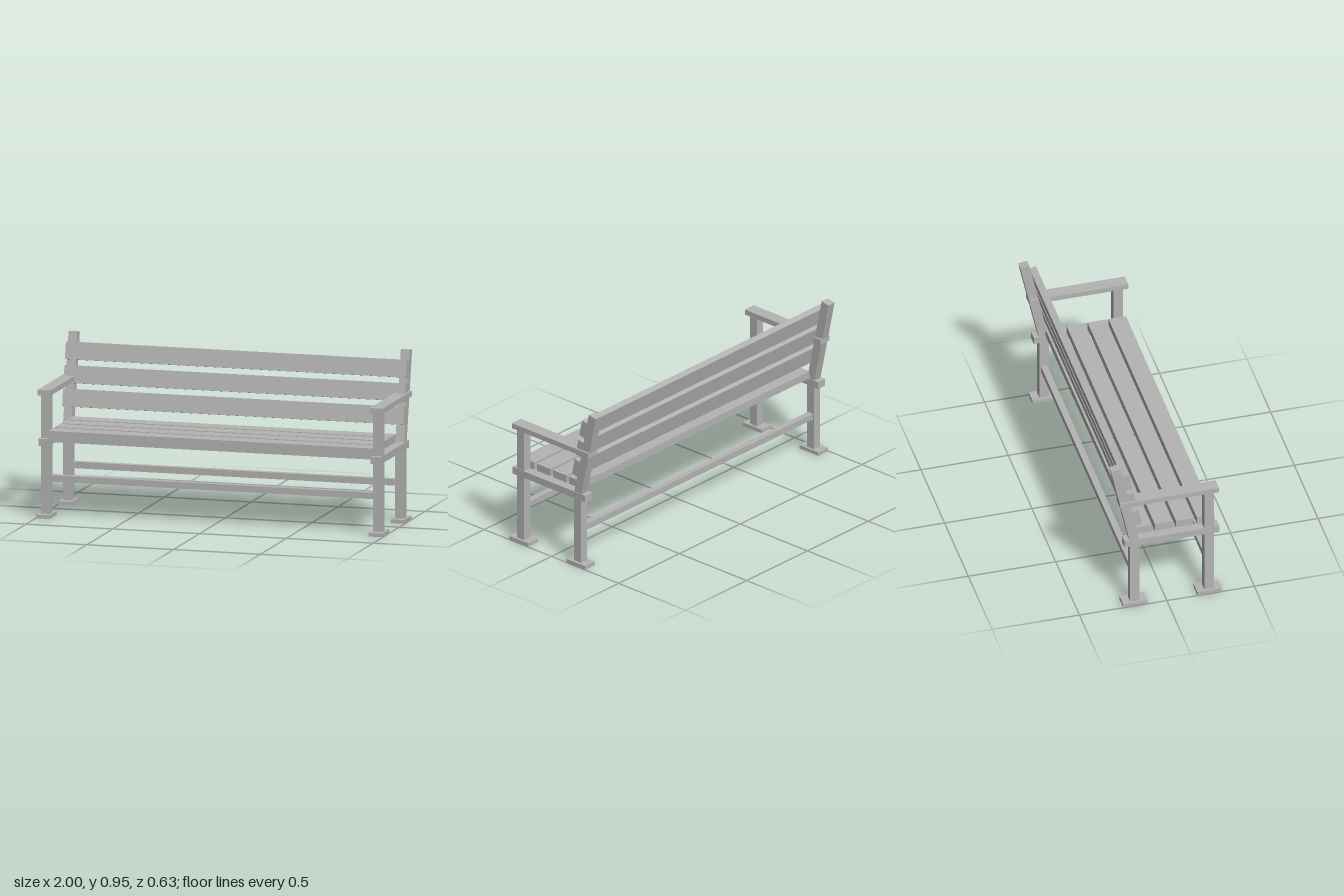
import * as THREE from 'three';

export function createModel() {
  const bench = new THREE.Group();
  bench.name = 'bench';
  const grey = new THREE.MeshStandardMaterial({ color: 0xb4b4b4 });
  grey.name = 'plain grey';

  // Box given by its extents on each axis
  function block(name, [x0, x1], [y0, y1], [z0, z1], parent = bench) {
    const mesh = new THREE.Mesh(new THREE.BoxGeometry(x1 - x0, y1 - y0, z1 - z0), grey);
    mesh.position.set((x0 + x1) / 2, (y0 + y1) / 2, (z0 + z1) / 2);
    mesh.name = name;
    parent.add(mesh);
    return mesh;
  }

  const lean = THREE.MathUtils.degToRad(12);

  // End frames: legs, feet, seat rail, armrest and leaning back post
  for (const side of [1, -1]) {
    const frame = new THREE.Group();
    frame.name = side > 0 ? 'leftFrame' : 'rightFrame';
    bench.add(frame);
    const span = (a, b) => (side > 0 ? [a, b] : [-b, -a]);
    const legX = span(0.932, 0.982);
    const footX = span(0.918, 0.998);

    block('frontFoot', footX, [0, 0.021], [0.175, 0.315], frame);
    block('rearFoot', footX, [0, 0.021], [-0.249, -0.109], frame);
    block('frontLeg', legX, [0.021, 0.688], [0.219, 0.273], frame);
    block('rearLeg', legX, [0.021, 0.42], [-0.205, -0.151], frame);
    block('seatRail', span(0.928, 0.985), [0.405, 0.446], [-0.238, 0.305], frame);
    block('armrest', span(0.92, 0.994), [0.688, 0.718], [-0.265, 0.3], frame);

    const post = block('backPost', legX, [0, 0.535], [-0.026, 0.026], frame);
    post.position.y = 0.684;
    post.position.z = -0.232;
    post.rotation.x = -lean;
  }

  // Seat slats, front to back
  for (let i = 0; i < 4; i++) {
    const z = 0.24 - i * 0.12;
    block('seatSlat', [-0.932, 0.932], [0.446, 0.49], [z - 0.05, z + 0.05]);
  }

  // Beams under the seat
  block('frontSeatBeam', [-0.935, 0.935], [0.414, 0.446], [0.18, 0.22]);
  block('rearSeatBeam', [-0.935, 0.935], [0.414, 0.446], [-0.1, -0.06]);

  // Low stretchers between the legs
  for (const [name, z] of [['frontStretcher', 0.246], ['rearStretcher', -0.178]]) {
    block(name, [-0.94, 0.94], [0.201, 0.237], [z - 0.018, z + 0.018]);
  }

  // Backrest slats on the front of the leaning posts
  for (let i = 0; i < 3; i++) {
    const slat = block('backSlat', [-0.982, 0.982], [0, 0.098], [0, 0.039]);
    slat.position.set(0, 0.594 + i * 0.1275, -0.166 - i * 0.0272);
    slat.rotation.x = -lean;
  }

  return bench;
}
